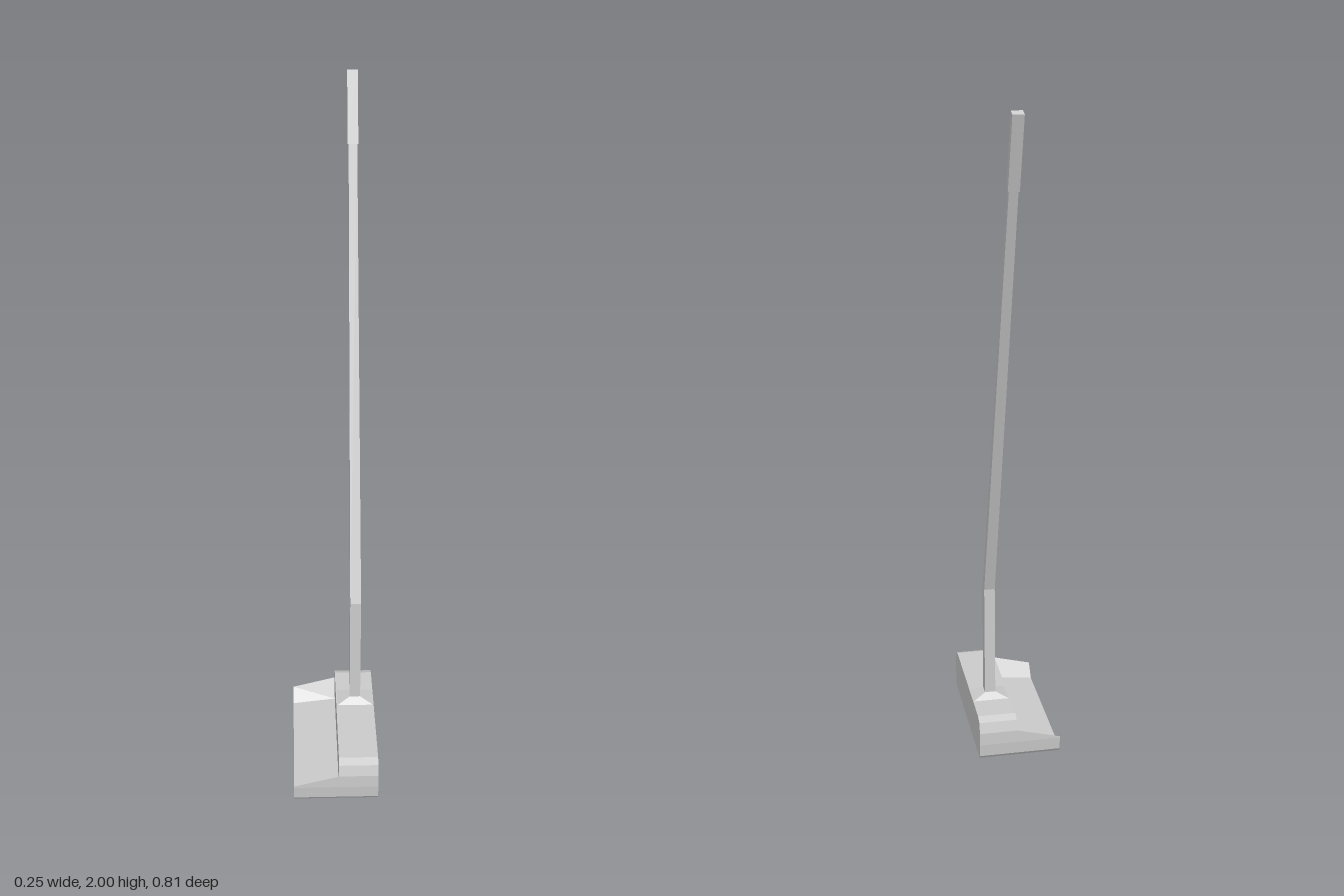
import * as THREE from 'three';

const material = new THREE.MeshStandardMaterial({ color: 0xcccccc, flatShading: true });

// Closed solid through matching rings of [x, y, z] points, capped at both ends.
// Rings run counter-clockwise as seen from the last ring.
function loft(name, rings, flat) {
  const pos = [];
  const n = rings[0].length;
  const tri = (a, b, c) => pos.push(...a, ...b, ...c);
  for (let r = 0; r < rings.length - 1; r++) {
    const a = rings[r], b = rings[r + 1];
    for (let i = 0; i < n; i++) {
      const j = (i + 1) % n;
      tri(a[i], a[j], b[j]);
      tri(a[i], b[j], b[i]);
    }
  }
  // flat() projects a ring point to 2D for the caps
  const caps = THREE.ShapeUtils.triangulateShape(rings[0].map(flat), []);
  const last = rings[rings.length - 1];
  for (const [i, j, k] of caps) {
    tri(rings[0][k], rings[0][j], rings[0][i]);
    tri(last[i], last[j], last[k]);
  }
  const geometry = new THREE.BufferGeometry();
  geometry.setAttribute('position', new THREE.Float32BufferAttribute(pos, 3));
  geometry.computeVertexNormals();
  const mesh = new THREE.Mesh(geometry, material);
  mesh.name = name;
  return mesh;
}

const sideways = ([, y, z]) => new THREE.Vector2(y, z);
const upward = ([x, , z]) => new THREE.Vector2(z, x);

// Head outline at one x: half profile of [z offset, y] from bottom to top, mirrored about the head centre.
const headZ = 0.158;
function headRing(x, half) {
  const front = half.map(([z, y]) => [x, y, headZ + z]).reverse();
  const back = half.map(([z, y]) => [x, y, headZ - z]);
  return [...front, ...back];
}

// Rectangular ring: half width, then the front and back edges as [z, y].
const shaftX = 0.067;
function bar(halfW, [zf, yf], [zb, yb]) {
  return [
    [shaftX - halfW, yb, zb], [shaftX - halfW, yf, zf],
    [shaftX + halfW, yf, zf], [shaftX + halfW, yb, zb],
  ];
}

// Square section across the leaning axis at height y.
function leanRing(y, halfW, depth) {
  const slope = (0.396 + 0.0775) / 1.495;
  const z = 0.0775 - (y - 0.5) * slope;
  const len = Math.hypot(1, slope);
  const dz = depth / len, dy = depth * slope / len;
  return bar(halfW, [z + dz, y + dy], [z - dz, y - dy]);
}

export function createModel() {
  const model = new THREE.Group();
  model.name = 'putter';

  const head = new THREE.Group();
  head.name = 'head';

  // Striking block with chamfered ends
  const blockHalf = [
    [0.236, 0], [0.243, 0.01], [0.247, 0.05], [0.247, 0.09], [0.238, 0.123], [0.213, 0.133],
  ];
  head.add(loft('strikingBlock', [headRing(0.008, blockHalf), headRing(0.125, blockHalf)], sideways));

  // Rear tray: sloping floor between end rims that fall away from the block
  const trayHalf = (rim, floor) => [
    [0.236, 0], [0.243, 0.01], [0.247, 0.05], [0.247, rim], [0.213, floor],
  ];
  head.add(loft('rearTray', [
    headRing(-0.127, trayHalf(0.055, 0.014)),
    headRing(0.008, trayHalf(0.09, 0.03)),
  ], sideways));

  // Flared collar where the shaft meets the head
  head.add(loft('collar', [
    bar(0.058, [0.118, 0.132], [0.037, 0.132]),
    bar(0.0165, [0.095, 0.15], [0.06, 0.15]),
  ], upward));
  model.add(head);

  // Bent, slightly tapering shaft
  model.add(loft('shaft', [
    bar(0.0165, [0.095, 0.148], [0.06, 0.148]),
    bar(0.0165, [0.094, 0.495], [0.061, 0.505]),
    leanRing(1.82, 0.0125, 0.0105),
  ], upward));

  // Grip
  model.add(loft('grip', [
    leanRing(1.797, 0.0155, 0.0125),
    leanRing(1.996, 0.0155, 0.0125),
  ], upward));

  return model;
}
